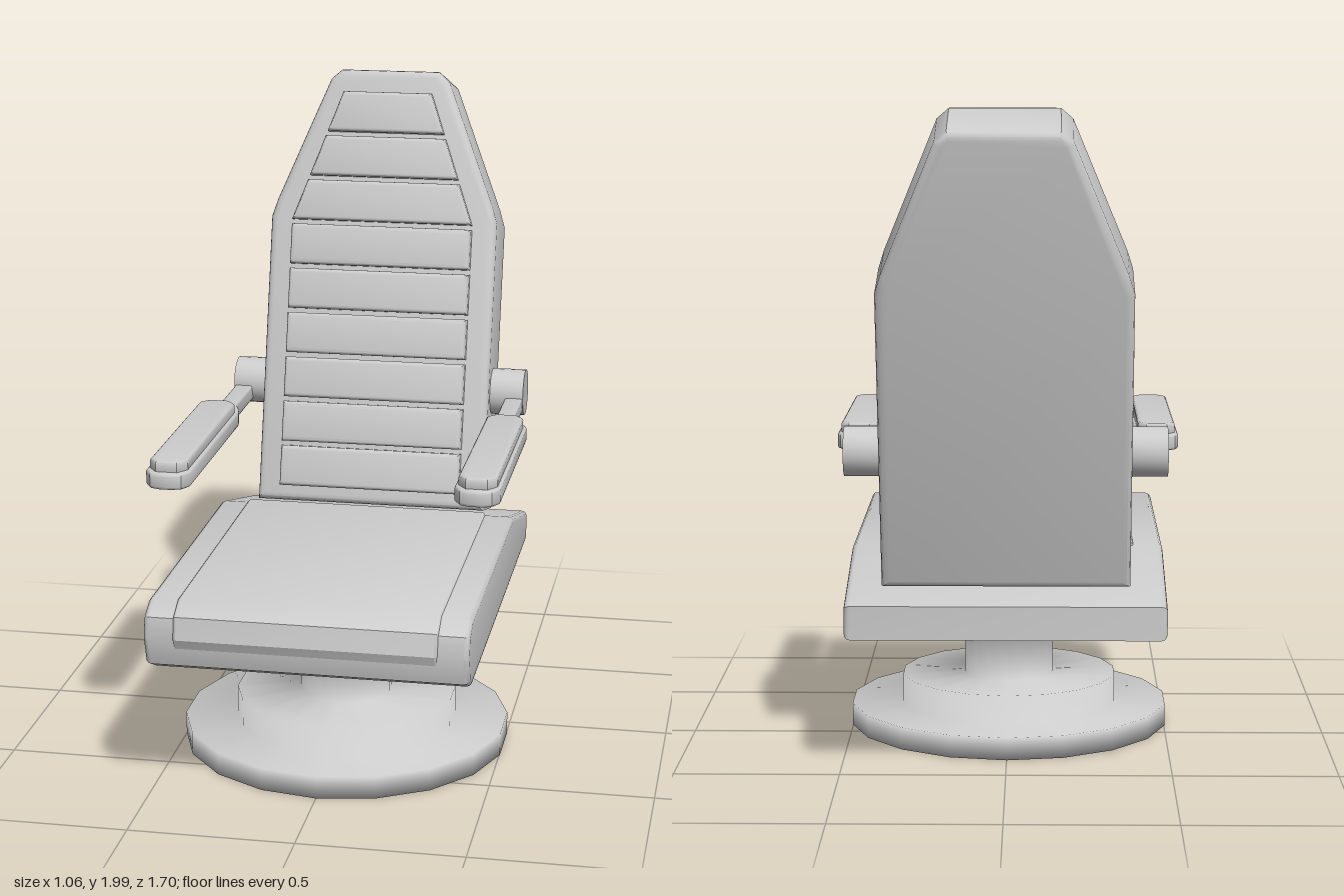
import * as THREE from 'three';
import { toCreasedNormals } from 'three/addons/utils/BufferGeometryUtils.js';

const grey = new THREE.MeshStandardMaterial({ color: 0xcccccc });

function add(parent, name, geometry) {
  const mesh = new THREE.Mesh(geometry, grey);
  mesh.name = name;
  parent.add(mesh);
  return mesh;
}

// Outline extruded from z = 0 to depth, with rounded edges kept inside the outline
function slab(points, depth, bevel) {
  const shape = new THREE.Shape(points.map(([x, y]) => new THREE.Vector2(x, y)));
  const geometry = new THREE.ExtrudeGeometry(shape, {
    depth: depth - 2 * bevel, bevelThickness: bevel, bevelSize: bevel,
    bevelOffset: -bevel, bevelSegments: 3,
  });
  return toCreasedNormals(geometry.translate(0, 0, bevel), 0.6);
}

// Side profile given as (z, y), extruded across x
function crosswise(profile, width, bevel) {
  return slab(profile, width, bevel).translate(0, 0, -width / 2).rotateY(-Math.PI / 2);
}

// Plan outline given as (x, z), extruded upward from y
function plan(points, y, height, bevel) {
  return slab(points.map(([x, z]) => [x, -z]), height, bevel)
    .rotateX(-Math.PI / 2).translate(0, y, 0);
}

// Right half of an outline, closed by its mirror image
const mirrored = (half) => [...half, ...half.map(([x, y]) => [-x, y]).reverse()];

export function createModel() {
  const model = new THREE.Group();
  model.name = 'swivelChair';

  // Pedestal: hollow stepped foot, column and mounting plate
  const profile = [
    [0, 0], [0.143, 0], [0.143, 0.15], [0.335, 0.15], [0.345, 0], [0.51, 0], [0.51, 0.07],
    [0.345, 0.07], [0.345, 0.16], [0.143, 0.16], [0.143, 0.395], [0.345, 0.395],
    [0.345, 0.435], [0, 0.435],
  ].map(([r, y]) => new THREE.Vector2(r, y));
  add(model, 'pedestal', new THREE.LatheGeometry(profile, 18)).position.z = 0.175;

  // Seat body with sloping rear, and the cushion wrapped over its front
  add(model, 'seat', crosswise([
    [-0.565, 0.428], [0.77, 0.428], [0.825, 0.455], [0.852, 0.54], [0.838, 0.605],
    [0.775, 0.641], [-0.16, 0.641], [-0.565, 0.53],
  ], 0.96, 0.018));
  add(model, 'seatCushion', crosswise([
    [-0.17, 0.515], [0.845, 0.515], [0.858, 0.545], [0.845, 0.612], [0.78, 0.648], [-0.17, 0.648],
  ], 0.78, 0.01));

  // Backrest, leaning backward
  const back = new THREE.Group();
  back.name = 'backrest';
  back.position.set(0, 0.635, -0.222);
  back.rotation.x = -0.269;
  model.add(back);
  const shell = mirrored([[0.372, 0], [0.372, 0.93], [0.355, 0.985], [0.195, 1.385], [0.16, 1.416]]);
  add(back, 'backShell', slab(shell, 0.264, 0.025)).position.z = -0.264;

  // Padded slats, narrowing toward the headrest
  const halfWidth = (v) => 0.295 - Math.max(0, v - 0.92) * 0.36;
  for (let i = 0; i < 9; i++) {
    const low = 0.05 + i * 0.145, high = low + 0.13;
    const outline = mirrored([[halfWidth(low), low], [halfWidth(high), high]]);
    add(back, 'backSlat', slab(outline, 0.065, 0.014)).position.z = -0.025;
  }

  // Armrests
  for (const side of [1, -1]) {
    const arm = new THREE.Group();
    arm.name = side > 0 ? 'leftArmrest' : 'rightArmrest';
    model.add(arm);
    const outline = (points) => points.map(([x, z]) => [side * x, z]);

    const pivot = new THREE.CylinderGeometry(0.075, 0.075, 0.14, 24).rotateZ(Math.PI / 2);
    add(arm, 'armPivot', toCreasedNormals(pivot, 0.6)).position.set(side * 0.41, 0.977, -0.447);

    add(arm, 'armBar', plan(outline([
      [0.42, -0.43], [0.478, -0.43], [0.478, -0.13], [0.49, -0.1], [0.52, -0.085], [0.53, -0.06],
      [0.53, 0.58], [0.51, 0.615], [0.48, 0.625], [0.445, 0.625], [0.415, 0.615], [0.395, 0.58],
      [0.395, -0.06], [0.402, -0.1], [0.42, -0.15],
    ]), 0.925, 0.05, 0.008));
    add(arm, 'armPad', plan(outline([
      [0.43, -0.08], [0.495, -0.08], [0.52, -0.05], [0.52, 0.57], [0.495, 0.605],
      [0.43, 0.605], [0.405, 0.57], [0.405, -0.05],
    ]), 0.965, 0.042, 0.01));
  }
  return model;
}
